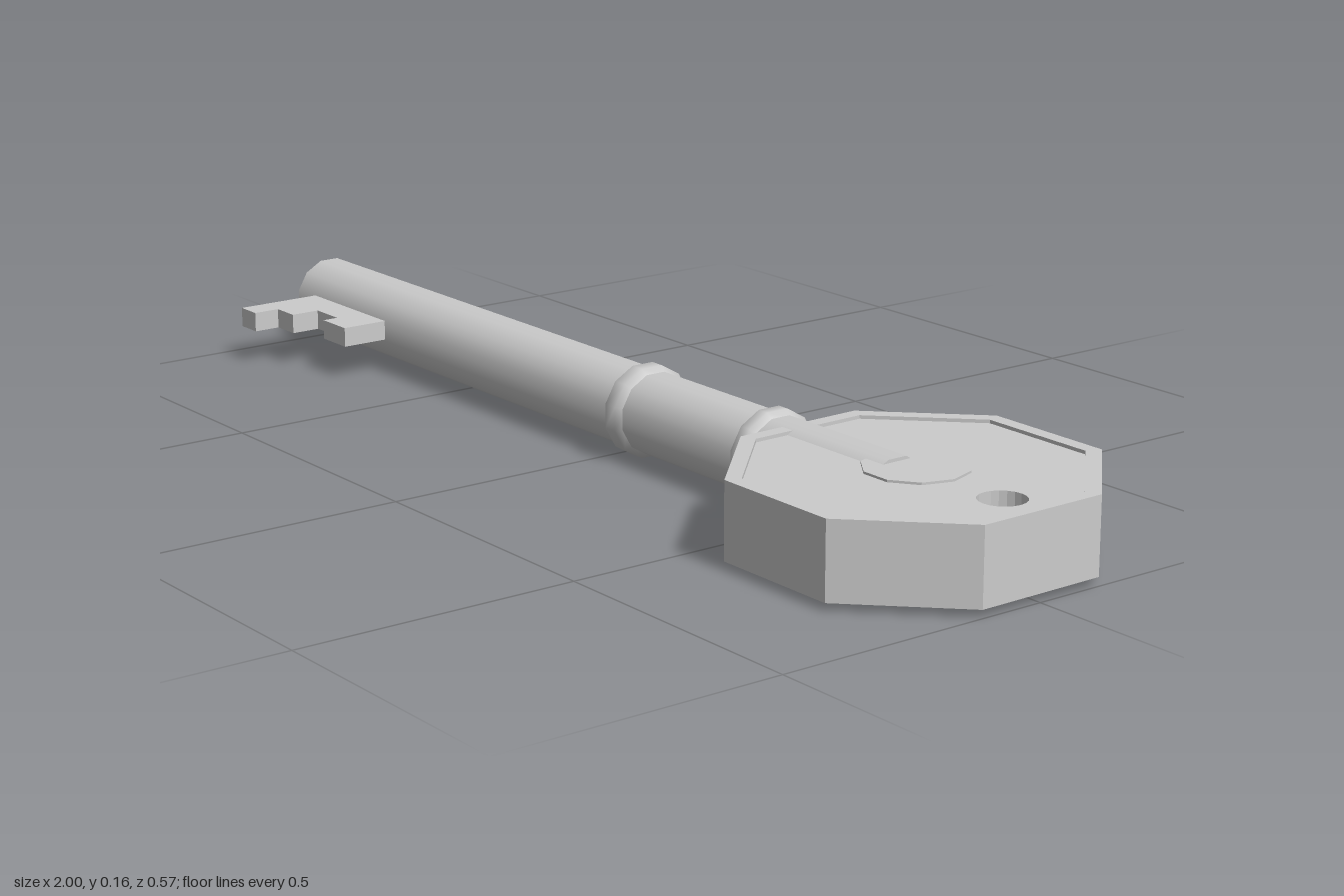
import * as THREE from 'three';

const grey = new THREE.MeshStandardMaterial({ color: 0xcccccc });
const flat = new THREE.MeshStandardMaterial({ color: 0xcccccc, flatShading: true });

function add(parent, name, geometry, material = flat) {
  const mesh = new THREE.Mesh(geometry, material);
  mesh.name = name;
  parent.add(mesh);
  return mesh;
}

// Flat plate lying in the xz plane, centred on y = 0
function plate(shape, thickness) {
  return new THREE.ExtrudeGeometry(shape, { depth: thickness, bevelEnabled: false, curveSegments: 10 })
    .translate(0, 0, -thickness / 2)
    .rotateX(Math.PI / 2);
}

// Corners of the bow's octagon, scaled towards the middle
function octagon(scale) {
  const a = 0.285 * scale, b = 0.12 * scale;
  return [[a, -b], [a, b], [b, a], [-b, a], [-a, b], [-a, -b], [-b, -a], [b, -a]]
    .map(([x, y]) => new THREE.Vector2(x, y));
}

// Turn a 12-sided solid from the y axis to the x axis, flats up
const alongX = (geometry) => geometry.rotateY(Math.PI / 12).rotateZ(-Math.PI / 2);

export function createModel() {
  const key = new THREE.Group();
  key.name = 'key';

  // Shaft, running on into the bow
  const stem = new THREE.Group();
  stem.name = 'stem';
  stem.position.set(0, 0.08, 0.006);
  key.add(stem);
  const R = 0.073;
  add(stem, 'shaft', alongX(new THREE.CylinderGeometry(R, R, 1.68, 12)), grey).position.x = -0.16;

  // Raised collars
  for (const [x, half] of [[0.035, 0.027], [0.375, 0.022]]) {
    const profile = [[R - 0.003, -half], [0.0823, -half * 0.5], [0.0823, half * 0.5], [R - 0.003, half]]
      .map(([r, y]) => new THREE.Vector2(r, y));
    add(stem, 'collar', alongX(new THREE.LatheGeometry(profile, 12)), grey).position.x = x;
  }

  // Bow: outer rim, recessed panel and centre boss
  const bow = new THREE.Group();
  bow.name = 'bow';
  bow.position.set(0.715, 0.081, -0.002);
  bow.rotation.x = 0.005;
  key.add(bow);
  const rim = new THREE.Shape(octagon(1));
  rim.holes.push(new THREE.Path(octagon(0.91).reverse()));
  add(bow, 'bowRim', plate(rim, 0.132));
  const panel = new THREE.Shape(octagon(0.91));
  panel.holes.push(new THREE.Path().absarc(0.195, 0, 0.04, 0, Math.PI * 2, true));
  add(bow, 'bowPanel', plate(panel, 0.12));
  add(bow, 'bowBoss', new THREE.CylinderGeometry(0.088, 0.088, 0.128, 10).rotateY(Math.PI / 10));

  // Stepped bit on the front of the shaft
  const bit = new THREE.Shape([
    [-0.94, 0.03], [-0.69, 0.03], [-0.69, 0.165], [-0.765, 0.165], [-0.765, 0.135],
    [-0.835, 0.135], [-0.835, 0.19], [-0.89, 0.19], [-0.89, 0.24], [-0.94, 0.24],
  ].map(([x, z]) => new THREE.Vector2(x, z)));
  add(key, 'bit', plate(bit, 0.036)).position.y = 0.082;

  return key;
}
